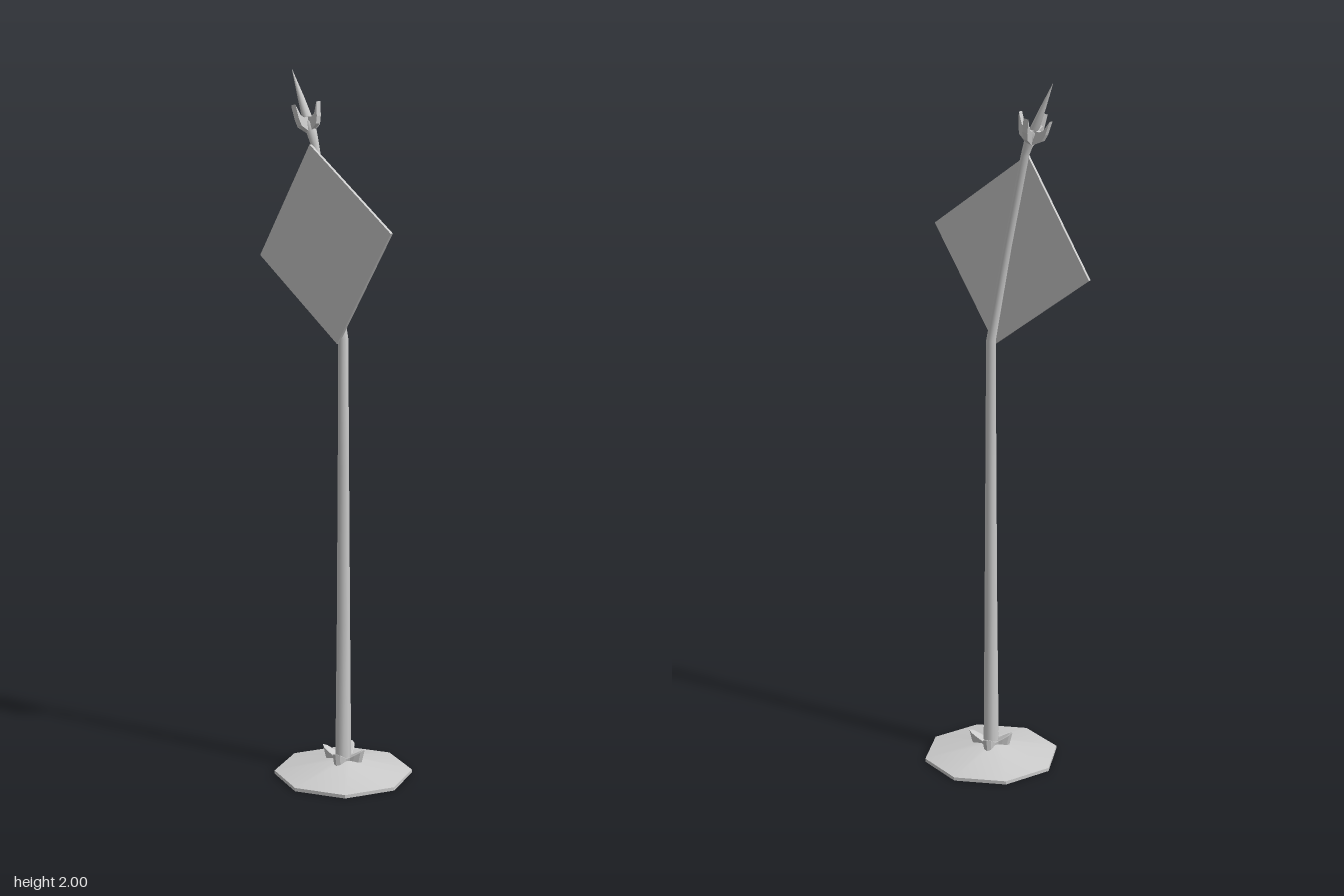
import * as THREE from 'three';

const mat = new THREE.MeshStandardMaterial({ color: 0xcccccc });
const flatMat = new THREE.MeshStandardMaterial({ color: 0xcccccc, flatShading: true });

function part(name, geometry, material = flatMat) {
  const mesh = new THREE.Mesh(geometry, material);
  mesh.name = name;
  return mesh;
}

// Skin a stack of rings; ringPoint(level, angle) returns [x, y, z]
function loft(levels, sides, ringPoint) {
  const pos = [], idx = [];
  for (let i = 0; i < levels; i++)
    for (let j = 0; j < sides; j++) pos.push(...ringPoint(i, (j / sides) * Math.PI * 2));
  for (let i = 0; i < levels - 1; i++)
    for (let j = 0; j < sides; j++) {
      const k = (j + 1) % sides;
      const a = i * sides + j, b = i * sides + k, c = a + sides, d = b + sides;
      idx.push(a, c, b, b, c, d);
    }
  const g = new THREE.BufferGeometry();
  g.setAttribute('position', new THREE.Float32BufferAttribute(pos, 3));
  g.setIndex(idx);
  g.computeVertexNormals();
  return g;
}

// Round-section shaft through [x, y, z, radius] stations
const shaft = (stations, sides) => loft(stations.length, sides, (i, a) => {
  const [x, y, z, r] = stations[i];
  return [x + r * Math.cos(a), y, z + r * Math.sin(a)];
});

export function createModel() {
  const model = new THREE.Group();
  const cx = 0.056;

  // Octagonal foot: thin rim and shallow cone
  const rim = part('baseRim', new THREE.CylinderGeometry(0.198, 0.198, 0.01, 8));
  rim.position.set(cx, 0.005, 0);
  const cone = part('baseCone', new THREE.CylinderGeometry(0.03, 0.198, 0.037, 8, 1, true), mat);
  cone.position.set(cx, 0.0285, 0);
  model.add(rim, cone);

  // Four-pointed collar with upturned tips
  const collar = part('collar', loft(4, 32, (i, a) => {
    const k = Math.pow(0.5 + 0.5 * Math.cos(4 * a), 1.6);
    const r = [0.027 + 0.026 * k, 0.031 + 0.034 * k, 0.028 + 0.029 * k, 0.016][i];
    const y = [0.03, 0.055 + 0.024 * k, 0.055 + 0.021 * k, 0.052][i];
    return [r * Math.cos(a), y, r * Math.sin(a)];
  }));
  collar.position.set(cx, 0, -0.002);
  collar.rotation.y = 0.37;
  model.add(collar);

  // Tapered pole, bent behind the sign and flaring into the finial
  model.add(part('pole', shaft([
    [cx, 0.03, 0, 0.023], [cx, 0.45, 0, 0.019], [0.055, 0.9, 0, 0.016],
    [0.053, 1.27, -0.001, 0.014], [-0.002, 1.54, -0.003, 0.012],
    [-0.058, 1.8, -0.003, 0.012], [-0.07, 1.835, -0.002, 0.015],
    [-0.08, 1.862, -0.002, 0.017], [-0.086, 1.875, -0.002, 0.001],
  ], 8), mat));

  // Leaning central spike
  model.add(part('spike', shaft([
    [-0.076, 1.85, -0.002, 0.006], [-0.088, 1.876, -0.002, 0.014],
    [-0.112, 1.93, -0.002, 0.009], [-0.144, 2.0, -0.002, 0.0005],
  ], 8), mat));

  // Four hooked prongs around the spike
  const prongShape = new THREE.Shape([
    [0, -0.035], [0.012, -0.028], [0.036, -0.012], [0.043, 0.008], [0.049, 0.047],
    [0.034, 0.017], [0.022, 0.01], [0, 0.012],
  ].map(([x, y]) => new THREE.Vector2(x, y)));
  const prongGeo = new THREE.ExtrudeGeometry(prongShape, { depth: 0.016, bevelEnabled: false });
  prongGeo.translate(0, 0, -0.008);
  const prongs = new THREE.Group();
  prongs.name = 'prongs';
  for (let i = 0; i < 4; i++) {
    const prong = part('prong', prongGeo);
    prong.rotation.y = (i * Math.PI) / 2;
    prongs.add(prong);
  }
  prongs.position.set(-0.081, 1.862, -0.001);
  prongs.rotation.z = 0.2;
  model.add(prongs);

  // Tilted diamond sign panel in front of the bend
  const panel = new THREE.Shape([
    [0.047, 1.257], [0.245, 1.58], [-0.058, 1.8], [-0.254, 1.477],
  ].map(([x, y]) => new THREE.Vector2(x, y)));
  const sign = part('signPanel', new THREE.ExtrudeGeometry(panel, { depth: 0.009, bevelEnabled: false }));
  sign.position.z = 0.009;
  model.add(sign);

  return model;
}
